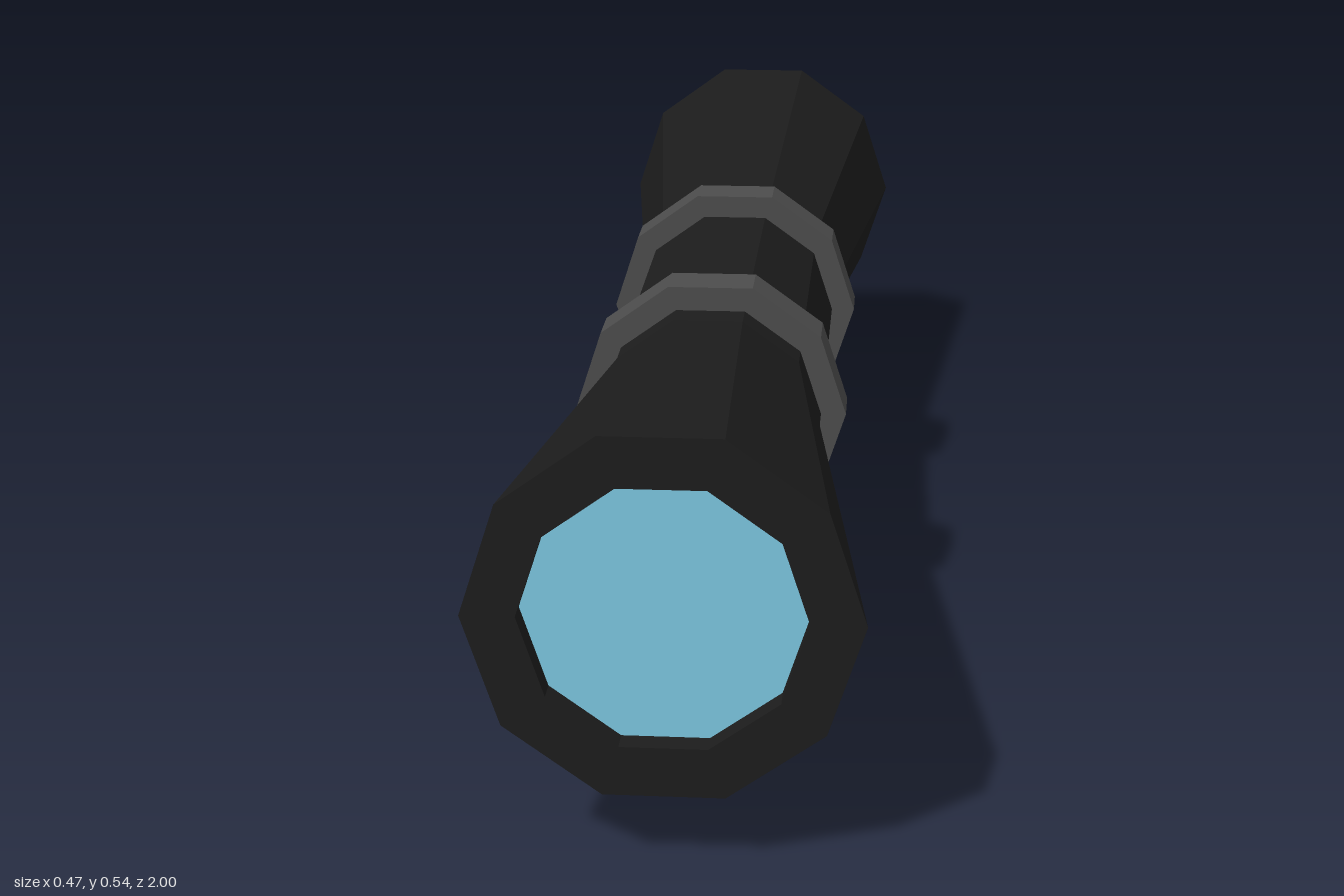
import * as THREE from 'three';

const SIDES = 10;
const AXIS_Y = 0.32;

const paint = (color) => new THREE.MeshStandardMaterial({ color, flatShading: true });

// Revolve [radius, z] points around the sight axis, with a corner on each side
function revolve(profile) {
  const points = profile.map(([r, z]) => new THREE.Vector2(r, z));
  return new THREE.LatheGeometry(points, SIDES, Math.PI / 2).rotateX(Math.PI / 2);
}

export function createModel() {
  const model = new THREE.Group();
  model.name = 'scope';
  const black = paint(0x1c1c1c);
  const grey = paint(0x4c4c4c);
  const blue = paint(0x7cc6df);

  const add = (name, geometry, material, y, z = 0) => {
    const mesh = new THREE.Mesh(geometry, material);
    mesh.name = name;
    mesh.position.set(0, y, z);
    model.add(mesh);
    return mesh;
  };

  // Waisted tube with flared ends, flat rims and shallow recesses
  add('tube', revolve([
    [0.168, -0.97], [0.168, -1], [0.233, -1], [0.155, -0.333],
    [0.155, 0.333], [0.233, 1], [0.168, 1], [0.168, 0.97],
  ]), black, AXIS_Y);

  // A lens and a clamp ring towards each end
  const ring = revolve([
    [0.15, -0.035], [0.19, -0.035], [0.19, 0.035], [0.15, 0.035], [0.15, -0.035],
  ]);
  for (const [end, s] of [['front', 1], ['back', -1]]) {
    const lens = add(end + 'Lens', new THREE.CircleGeometry(0.168, SIDES), blue, AXIS_Y, s * 0.97);
    if (s < 0) lens.rotation.y = Math.PI;
    add(end + 'Ring', ring, grey, AXIS_Y, s * 0.25);
  }

  // Mounting block under the rings
  add('mount', new THREE.BoxGeometry(0.148, 0.155, 0.486), black, 0.0775);

  return model;
}
